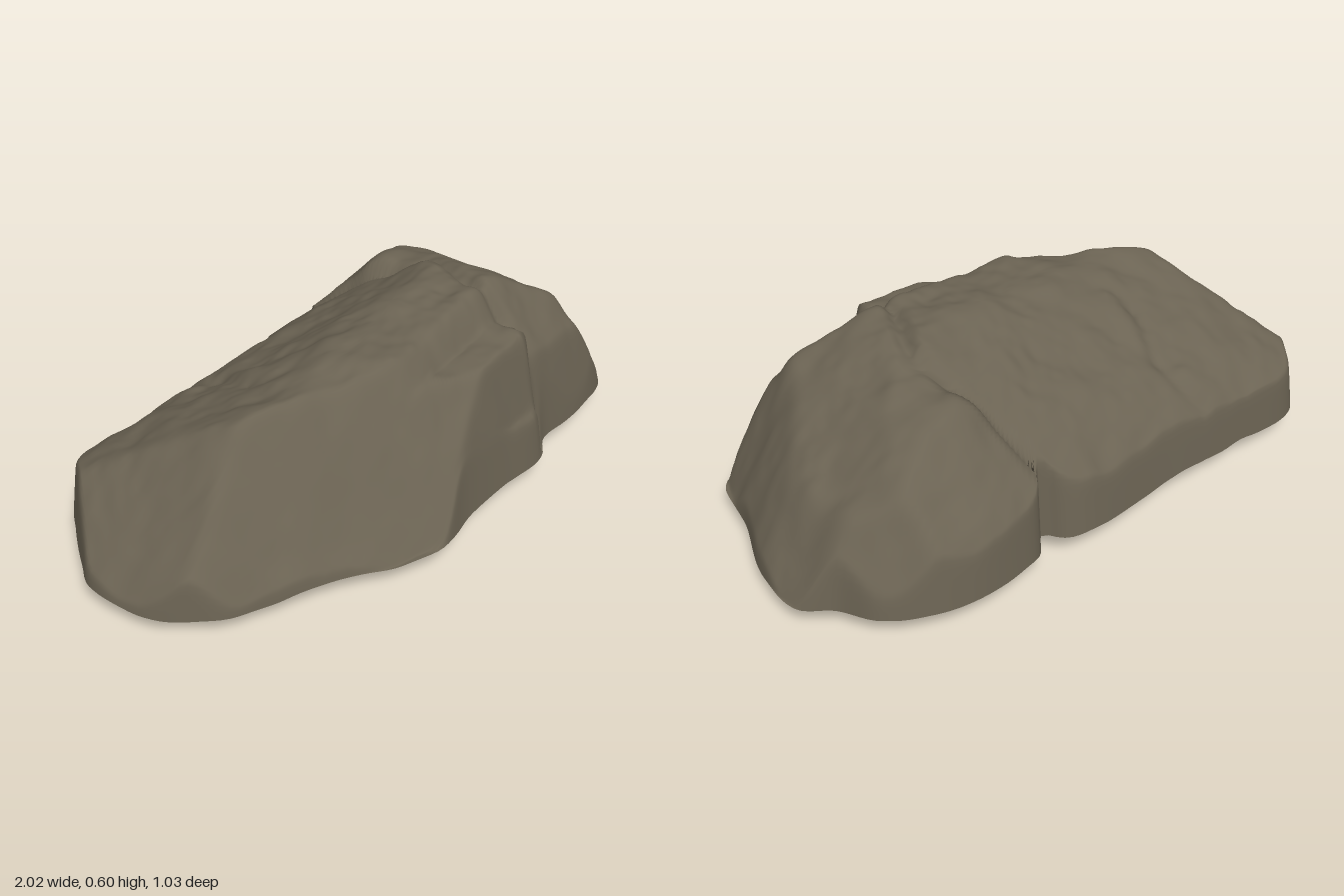
import * as THREE from 'three';

const SEGMENTS = 220, RINGS = 64;
const HUB = new THREE.Vector2(0.1, 0.05);

// Footprint seen from above, as x, z pairs running clockwise
const FOOTPRINT = [
  [-1, -0.2], [-0.95, -0.28], [-0.86, -0.4], [-0.75, -0.51], [-0.5, -0.51], [-0.2, -0.5], [0.19, -0.51],
  [0.25, -0.48], [0.29, -0.43], [0.35, -0.49], [0.42, -0.51], [0.6, -0.52], [0.75, -0.48], [0.86, -0.4],
  [0.92, -0.28], [1, -0.2], [0.98, 0], [0.9, 0.2], [0.85, 0.39], [0.8, 0.43], [0.6, 0.46], [0.4, 0.45],
  [0.3, 0.5], [0.1, 0.49], [-0.1, 0.49], [-0.28, 0.51], [-0.4, 0.46], [-0.55, 0.36], [-0.75, 0.26],
  [-0.87, 0.2], [-0.95, 0.1], [-1, 0],
];

// Path of the crevice that splits the rock, as z, x pairs
const CREVICE = [[-0.6, 0.27], [-0.43, 0.29], [-0.2, 0.38], [-0.02, 0.42], [0.18, 0.33], [0.6, 0.32]];

function creviceX(z) {
  for (let i = 1; i < CREVICE.length; i++) {
    const [z0, x0] = CREVICE[i - 1], [z1, x1] = CREVICE[i];
    if (z <= z1) return THREE.MathUtils.mapLinear(z, z0, z1, x0, x1);
  }
  return 0.32;
}

// Smooth repeatable noise in -1..1
function hash(i, j) {
  const s = Math.sin(i * 127.1 + j * 311.7) * 43758.5453;
  return (s - Math.floor(s)) * 2 - 1;
}
function noise(x, z) {
  const i = Math.floor(x), j = Math.floor(z);
  const u = THREE.MathUtils.smoothstep(x - i, 0, 1), v = THREE.MathUtils.smoothstep(z - j, 0, 1);
  const { lerp } = THREE.MathUtils;
  return lerp(lerp(hash(i, j), hash(i + 1, j), u), lerp(hash(i, j + 1), hash(i + 1, j + 1), u), v);
}

// Minimum with a slightly rounded edge
function softMin(...values) {
  const k = 0.012, m = Math.min(...values);
  return m - k * Math.log(values.reduce((sum, v) => sum + Math.exp((m - v) / k), 0));
}

// Large block: top sloping to the back, end and front faces, with a ledge at the front
function mainBlock(x, z) {
  const ledge = softMin(0.1 + 4.4 * (0.5 - z), 0.49 + 0.05 * x);
  const front = Math.max(ledge, 0.5 + 1.4 * (0.3 - z));
  return softMin(
    0.555 + 0.08 * x + 0.5 * z,
    0.575 + 0.06 * x,
    0.23 + 1.0 * (z + 0.5),
    0.1 + 1.1 * (x + 1),
    0.09 + 1.75 * (0.575 + 0.45 * x - 0.9 * z),
    front);
}

// Smaller block at the left end: top falling to the left, steep end, front, back and corner
function sideBlock(x, z) {
  return softMin(
    0.61 - 0.65 * (x - 0.4),
    0.56 + 0.2 * z,
    0.08 + 1.57 * (1.0 - x - 0.42 * Math.max(z, 0)),
    0.1 + 5 * (0.46 - z),
    0.5 + 1.3 * (0.31 - z),
    0.23 + 1.15 * (z + 0.5),
    0.15 + 2 * (0.9 - 0.76 * x + 0.65 * z));
}

function rockHeight(x, z) {
  const offset = x - creviceX(z);
  const blend = THREE.MathUtils.smoothstep(offset, -0.025, 0.025);
  let y = THREE.MathUtils.lerp(mainBlock(x, z), sideBlock(x, z), blend);
  y -= 0.03 * Math.exp(-((offset / 0.02) ** 2));
  // Shallow crack across the top of the large block
  const crack = x + 0.34 - 0.03 * Math.sin(z * 14);
  if (z < 0) y -= 0.015 * Math.exp(-((crack / 0.025) ** 2)) * Math.min(1, -z * 8);
  // Lumps and small chips
  y += 0.011 * noise(x * 6 + 3, z * 6) + 0.01 * noise(x * 13, z * 13 + 7) + 0.004 * noise(x * 30, z * 30);
  return y;
}

function makeGeometry(positions, indices) {
  const geometry = new THREE.BufferGeometry();
  geometry.setAttribute('position', new THREE.Float32BufferAttribute(positions, 3));
  geometry.setIndex(indices);
  geometry.computeVertexNormals();
  return geometry;
}

export function createModel() {
  const group = new THREE.Group();
  group.name = 'rock';

  const curve = new THREE.CatmullRomCurve3(
    FOOTPRINT.map(([x, z]) => new THREE.Vector3(x, 0, z)), true, 'centripetal');
  const rim = curve.getSpacedPoints(SEGMENTS).slice(0, SEGMENTS);
  rim.forEach((p) => {
    p.y = 0.062 + 0.035 * Math.abs(p.z) + 0.006 * noise(p.x * 12, p.z * 12);
  });

  // Upper surface: rings shrinking from the rim to the hub, closest together at the walls
  const positions = [], indices = [];
  for (let i = 0; i <= RINGS; i++) {
    const s = 1 - (i / RINGS) ** 1.6;
    for (let j = 0; j < SEGMENTS; j++) {
      const p = rim[j];
      const x = HUB.x + (p.x - HUB.x) * s, z = HUB.y + (p.z - HUB.y) * s;
      const inset = Math.hypot(p.x - x, p.z - z);
      const y = Math.max(p.y, softMin(rockHeight(x, z), p.y + inset * 7));
      positions.push(x, i === 0 ? p.y : y, z);
      if (i === RINGS) continue;
      const a = i * SEGMENTS + j, b = i * SEGMENTS + (j + 1) % SEGMENTS;
      indices.push(a, a + SEGMENTS, b);
      if (i < RINGS - 1) indices.push(b, a + SEGMENTS, b + SEGMENTS);
    }
  }
  const surface = new THREE.Mesh(makeGeometry(positions, indices),
    new THREE.MeshStandardMaterial({ color: 0x6b6353 }));
  surface.name = 'rockSurface';

  // Underside: shallow fan meeting at the lowest point
  const basePositions = [HUB.x, 0, HUB.y], baseIndices = [];
  rim.forEach((p, j) => {
    basePositions.push(p.x, p.y, p.z);
    baseIndices.push(0, j + 1, (j + 1) % SEGMENTS + 1);
  });
  const base = new THREE.Mesh(makeGeometry(basePositions, baseIndices),
    new THREE.MeshStandardMaterial({ color: 0x40382f }));
  base.name = 'underside';

  group.add(surface, base);
  return group;
}
